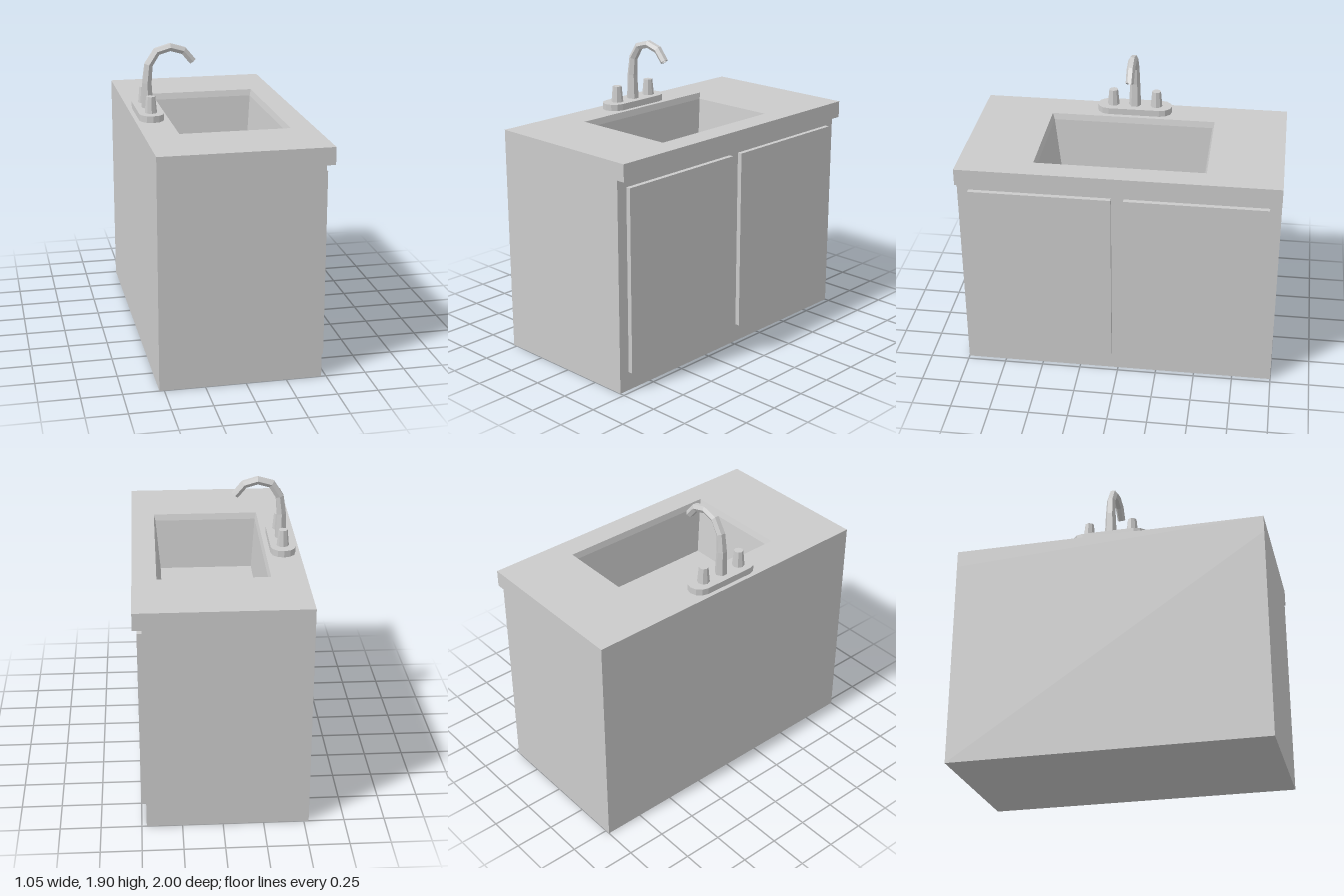
import * as THREE from 'three';

const material = new THREE.MeshStandardMaterial({ color: 0xcccccc, flatShading: true });

function addMesh(parent, name, geometry, x = 0, y = 0, z = 0) {
  const mesh = new THREE.Mesh(geometry, material);
  mesh.name = name;
  mesh.position.set(x, y, z);
  parent.add(mesh);
  return mesh;
}

// Joins a list of equal-length vertex rings with flat faces and caps both ends.
function loft(rings) {
  const pos = [];
  const tri = (a, b, c) => {
    const area = b.clone().sub(a).cross(c.clone().sub(a)).length();
    if (area > 1e-8) for (const p of [a, b, c]) pos.push(p.x, p.y, p.z);
  };
  const n = rings[0].length;
  for (let i = 0; i < rings.length - 1; i++) {
    for (let j = 0; j < n; j++) {
      const k = (j + 1) % n;
      const [a, b, c, d] = [rings[i][j], rings[i][k], rings[i + 1][k], rings[i + 1][j]];
      tri(a, b, c);
      tri(a, c, d);
    }
  }
  const first = rings[0], last = rings[rings.length - 1];
  for (let j = 1; j < n - 1; j++) {
    tri(first[0], first[j + 1], first[j]);
    tri(last[0], last[j], last[j + 1]);
  }
  const geometry = new THREE.BufferGeometry();
  geometry.setAttribute('position', new THREE.Float32BufferAttribute(pos, 3));
  geometry.computeVertexNormals();
  return geometry;
}

// Horizontal rectangle, anticlockwise seen from above.
const rect = (x0, x1, z0, z1, y) =>
  [[x1, z1], [x1, z0], [x0, z0], [x0, z1]].map(([x, z]) => new THREE.Vector3(x, y, z));

// Six-sided ring around the spout path, flat on its inner and outer sides.
function hexRing(p, t, r) {
  return Array.from({ length: 6 }, (_, i) => {
    const a = Math.PI / 2 + i * Math.PI / 3;
    const u = r * Math.cos(a);
    return new THREE.Vector3(p.x - t.y * u, p.y + t.x * u, r * Math.sin(a));
  });
}

function spoutGeometry() {
  // x, y, radius along the curved neck
  const path = [
    [-0.425, 1.49, 0.04], [-0.427, 1.65, 0.033], [-0.414, 1.766, 0.029], [-0.361, 1.848, 0.028],
    [-0.275, 1.873, 0.027], [-0.19, 1.848, 0.027], [-0.132, 1.778, 0.026],
  ];
  const pts = path.map(([x, y]) => new THREE.Vector3(x, y, 0));
  const end = pts.length - 1;
  const tangent = i => pts[Math.min(i + 1, end)].clone().sub(pts[Math.max(i - 1, 0)]).normalize();
  const rings = pts.map((p, i) => hexRing(p, tangent(i), path[i][2]));
  // recessed outlet
  const t = tangent(end);
  rings.push(hexRing(pts[end], t, 0.018));
  rings.push(hexRing(pts[end].clone().addScaledVector(t, -0.02), t, 0.018));
  return loft(rings);
}

// Flat plate with rounded ends, long in z.
function plateGeometry(r, half, height) {
  const shape = new THREE.Shape();
  shape.absarc(0, half, r, 0, Math.PI, false);
  shape.absarc(0, -half, r, Math.PI, Math.PI * 2, false);
  shape.closePath();
  const g = new THREE.ExtrudeGeometry(shape, { depth: height, bevelEnabled: false, curveSegments: 3 });
  return g.rotateX(-Math.PI / 2);
}

export function createModel() {
  const model = new THREE.Group();
  model.name = 'sinkCabinet';

  // Cabinet, overhanging countertop and sunken basin as one continuous surface
  addMesh(model, 'cabinetAndBasin', loft([
    rect(-0.53, 0.47, -1, 1, 0),
    rect(-0.53, 0.47, -1, 1, 1.342),
    rect(-0.53, 0.525, -1, 1, 1.342),
    rect(-0.53, 0.525, -1, 1, 1.45),
    rect(-0.315, 0.375, -0.535, 0.533, 1.45),
    rect(-0.305, 0.365, -0.522, 0.52, 1.41),
    rect(-0.28, 0.336, -0.482, 0.478, 1.08),
  ]));

  // Pair of door panels
  for (const side of [1, -1]) {
    addMesh(model, side > 0 ? 'nearDoor' : 'farDoor',
      new THREE.BoxGeometry(0.03, 1.167, 0.89), 0.485, 0.702, side * 0.484);
  }

  // Tap set
  const tap = new THREE.Group();
  tap.name = 'tap';
  model.add(tap);
  addMesh(tap, 'tapPlate', plateGeometry(0.078, 0.168, 0.042), -0.424, 1.45, 0);
  addMesh(tap, 'spout', spoutGeometry());
  for (const side of [1, -1]) {
    addMesh(tap, 'tapHandle', new THREE.CylinderGeometry(0.029, 0.039, 0.105, 8), -0.425, 1.543, side * 0.142);
  }
  return model;
}
